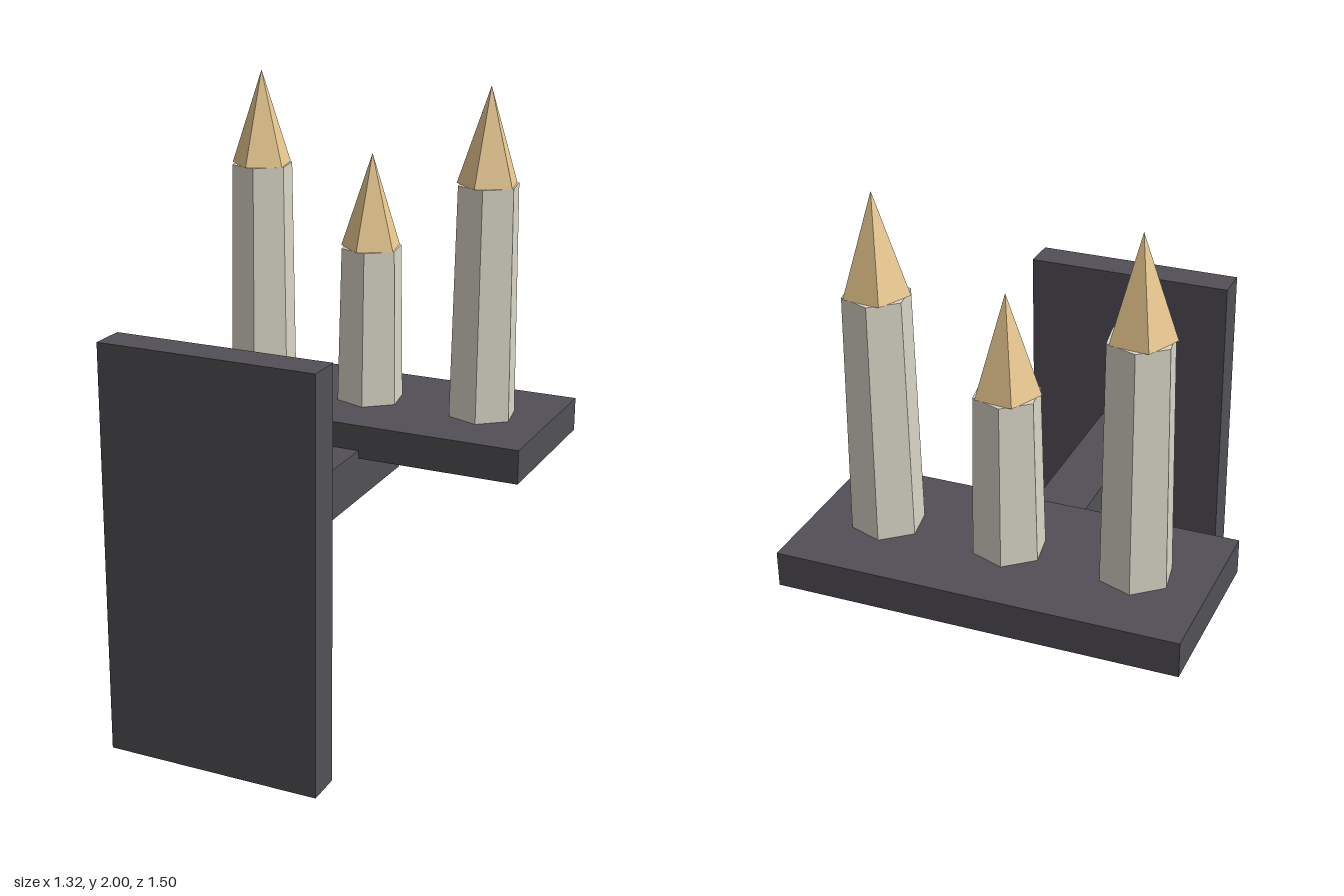
import * as THREE from 'three';

const iron = new THREE.MeshStandardMaterial({ color: 0x525056, flatShading: true });
const wax = new THREE.MeshStandardMaterial({ color: 0xd9d6c7, flatShading: true });
const fire = new THREE.MeshStandardMaterial({ color: 0xe8c88f, flatShading: true });

// Box given by its extents along each axis
function slab(name, [x0, x1], [y0, y1], [z0, z1]) {
  const mesh = new THREE.Mesh(new THREE.BoxGeometry(x1 - x0, y1 - y0, z1 - z0), iron);
  mesh.position.set((x0 + x1) / 2, (y0 + y1) / 2, (z0 + z1) / 2);
  mesh.name = name;
  return mesh;
}

// Tapered six-sided candle with a five-sided pointed flame
function candle(name, height) {
  const group = new THREE.Group();
  group.name = name;

  const body = new THREE.Mesh(new THREE.CylinderGeometry(0.107, 0.119, height, 6), wax);
  body.name = 'candleBody';
  body.position.y = height / 2;
  body.rotation.y = 0.17;

  const flameHeight = 0.325;
  const flame = new THREE.Mesh(new THREE.ConeGeometry(0.107, flameHeight, 5), fire);
  flame.name = 'flame';
  flame.position.y = height + flameHeight / 2;
  flame.rotation.y = -0.1;

  group.add(body, flame);
  return group;
}

export function createModel() {
  const model = new THREE.Group();
  model.name = 'candleSconce';

  // Wall plate, arm and tray
  model.add(
    slab('wallPlate', [-0.36, 0.36], [0, 1.355], [0.633, 0.75]),
    slab('arm', [-0.09, 0.09], [0.607, 0.785], [-0.51, 0.64]),
    slab('tray', [-0.66, 0.66], [0.757, 0.875], [-0.75, -0.152])
  );

  // Three candles, the middle one shorter
  const candles = [['rightCandle', -0.42, 0.8], ['middleCandle', 0, 0.545], ['leftCandle', 0.42, 0.8]];
  for (const [name, x, height] of candles) {
    const c = candle(name, height);
    c.position.set(x, 0.875, -0.45);
    model.add(c);
  }
  return model;
}
